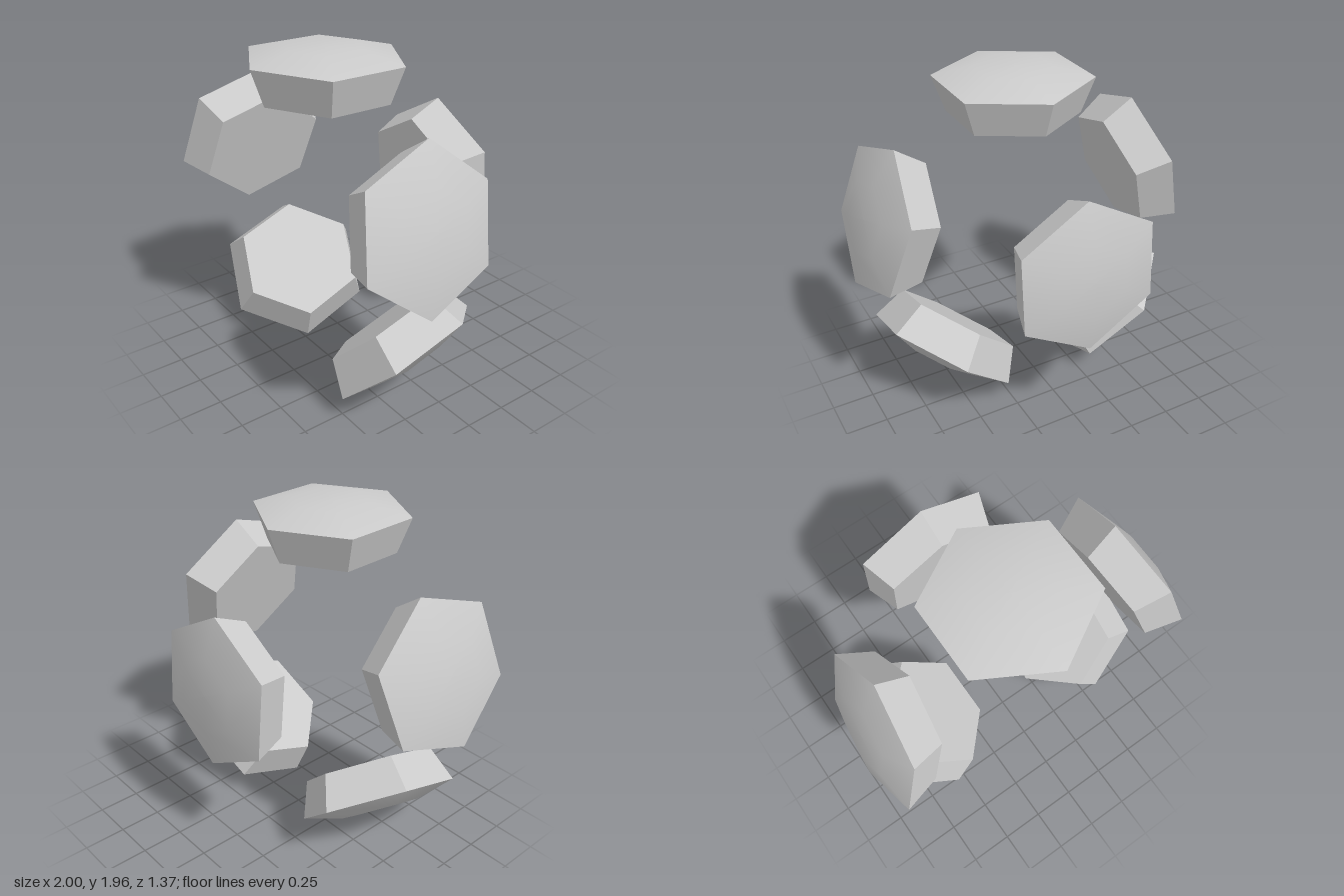
import * as THREE from 'three';

const material = new THREE.MeshStandardMaterial({ color: 0xcccccc });

// Six-sided lathe, slightly shortened along its pointed (z) axis
function hexLathe(profile, flat) {
  const points = profile.map(([r, y]) => new THREE.Vector2(r, y));
  let geometry = new THREE.LatheGeometry(points, 6);
  geometry.scale(1, 1, 0.976);
  if (flat) {
    geometry = geometry.toNonIndexed();
    geometry.computeVertexNormals();
  }
  return geometry;
}

// Tapered body with a flat inner face, and a shallow smooth dome as outer face
const bodyGeometry = hexLathe([[0, -0.21], [0.383, -0.21], [0.46, 0]], true);
const domeGeometry = hexLathe([[0.46, 0], [0.23, 0.057], [0, 0.06]], false);

// center: middle of the outer rim, normal: outward direction, tip: direction of one corner
function hexTile(name, center, normal, tip) {
  const n = new THREE.Vector3(...normal).normalize();
  const u = new THREE.Vector3().crossVectors(n, new THREE.Vector3(...tip)).normalize();
  const v = new THREE.Vector3().crossVectors(u, n);

  const tile = new THREE.Group();
  tile.name = name;
  const body = new THREE.Mesh(bodyGeometry, material);
  body.name = 'tileBody';
  const dome = new THREE.Mesh(domeGeometry, material);
  dome.name = 'tileDome';
  tile.add(body, dome);
  tile.quaternion.setFromRotationMatrix(new THREE.Matrix4().makeBasis(u, n, v));
  tile.position.set(...center);
  return tile;
}

export function createModel() {
  const model = new THREE.Group();
  model.name = 'hexTileShell';

  // Tiles on the middle plane
  model.add(hexTile('topTile', [0, 1.898, 0.234], [0, 1, -0.017], [0, 0.017, 1]));
  model.add(hexTile('backTile', [0, 1.057, -0.613], [0, 0.072, -0.997], [0, 0.997, 0.072]));

  // Mirrored pairs
  for (const [side, s] of [['left', 1], ['right', -1]]) {
    model.add(hexTile(side + 'UpperTile', [s * 0.875, 1.232, 0.23],
      [s * 0.96, 0.275, -0.048], [s * -0.125, 0.423, -0.08]));
    model.add(hexTile(side + 'LowerTile', [s * 0.58, 0.303, 0.105],
      [s * 0.637, -0.741, -0.218], [s * -0.31, -0.3, 0.115]));
  }
  return model;
}
